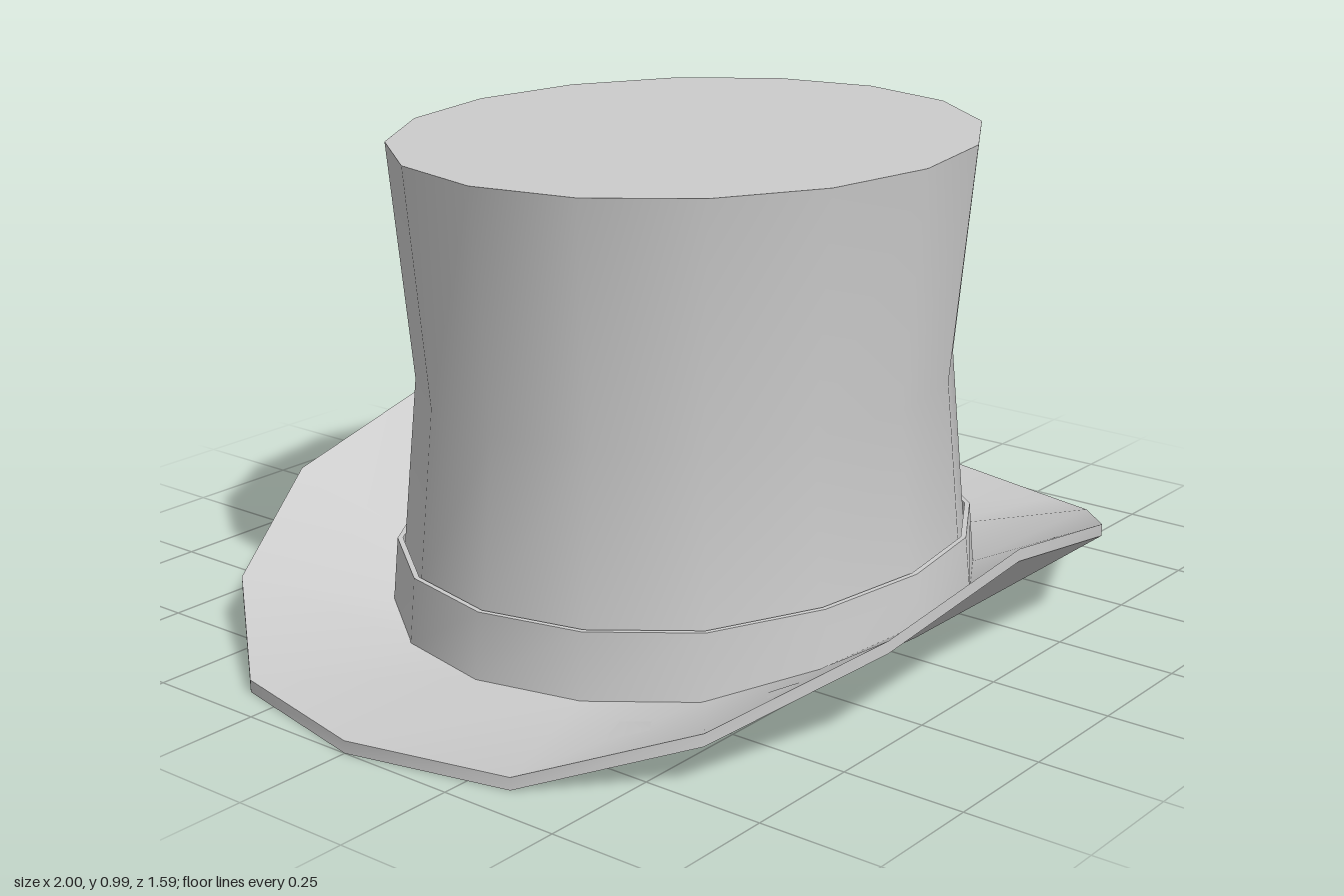
import * as THREE from 'three';

const SIDES = 16;
const material = new THREE.MeshStandardMaterial({ color: 0xcccccc, side: THREE.DoubleSide });

// Heights of the curled brim per step of a quarter turn, side to front
const INNER_LIFT = [0, 0, 0, 0.03, 0.045];
const OUTER_LIFT = [0, 0, 0.08, 0.19, 0.26];
const OUTER_DEPTH = [0.875, 0.875, 0.842, 0.822, 0.796];

// Step counted from the nearest side (0) to the front or back (4)
const quarter = (i) => {
  const k = i % (SIDES / 2);
  return k > 4 ? 8 - k : k;
};

// Oval ring of points; y and rz may vary with the step
function ring(rx, rz, y) {
  const points = [];
  for (let i = 0; i < SIDES; i++) {
    const a = (i / SIDES) * Math.PI * 2;
    const depth = typeof rz === 'function' ? rz(i) : rz;
    const height = typeof y === 'function' ? y(i) : y;
    points.push(new THREE.Vector3(Math.cos(a) * rx, height, Math.sin(a) * depth));
  }
  return points;
}

// Smooth skin through a list of rings
function loft(name, rings) {
  const geometry = new THREE.BufferGeometry().setFromPoints(rings.flat());
  const index = [];
  for (let r = 0; r < rings.length - 1; r++) {
    for (let i = 0; i < SIDES; i++) {
      const j = (i + 1) % SIDES;
      const a = r * SIDES + i, b = r * SIDES + j;
      const c = a + SIDES, d = b + SIDES;
      index.push(a, c, b, b, c, d);
    }
  }
  geometry.setIndex(index);
  geometry.computeVertexNormals();
  const mesh = new THREE.Mesh(geometry, material);
  mesh.name = name;
  return mesh;
}

function makeCrown() {
  const crown = new THREE.Group();
  crown.name = 'crown';
  crown.add(loft('crownWall', [
    ring(0.64, 0.57, (i) => INNER_LIFT[quarter(i)]),
    ring(0.628, 0.553, 0.15),
    ring(0.595, 0.522, 0.5),
    ring(0.64, 0.567, 0.985),
  ]));
  // Flat lid
  const lid = new THREE.Mesh(new THREE.CircleGeometry(1, SIDES), material);
  lid.name = 'crownTop';
  lid.geometry.scale(0.64, 0.567, 1).rotateX(-Math.PI / 2);
  lid.position.y = 0.985;
  crown.add(lid);
  return crown;
}

function makeBand() {
  const band = new THREE.Group();
  band.name = 'hatBand';
  const top = (i) => 0.16 + INNER_LIFT[quarter(i)] * 0.4;
  const outer = ring(0.643, 0.568, top);
  band.add(
    loft('bandWall', [ring(0.655, 0.58, (i) => 0.02 + INNER_LIFT[quarter(i)]), outer]),
    loft('bandRim', [outer, ring(0.632, 0.557, top)]),
  );
  return band;
}

function makeBrim() {
  const brim = new THREE.Group();
  brim.name = 'brim';
  const thickness = 0.025;
  // The diagonal corners on the left side sit slightly further in
  const depth = (i) => (i === 2 || i === 14 ? 0.768 : OUTER_DEPTH[quarter(i)]);
  const inner = (t) => ring(0.64, 0.57, (i) => INNER_LIFT[quarter(i)] + t);
  const outer = (t) => ring(1, depth, (i) => OUTER_LIFT[quarter(i)] + t);
  brim.add(
    loft('brimUnderside', [inner(0), outer(0)]),
    loft('brimEdge', [outer(0), outer(thickness)]),
    loft('brimTop', [outer(thickness), inner(thickness)]),
  );
  return brim;
}

export function createModel() {
  const hat = new THREE.Group();
  hat.name = 'topHat';
  hat.add(makeCrown(), makeBand(), makeBrim());
  return hat;
}
